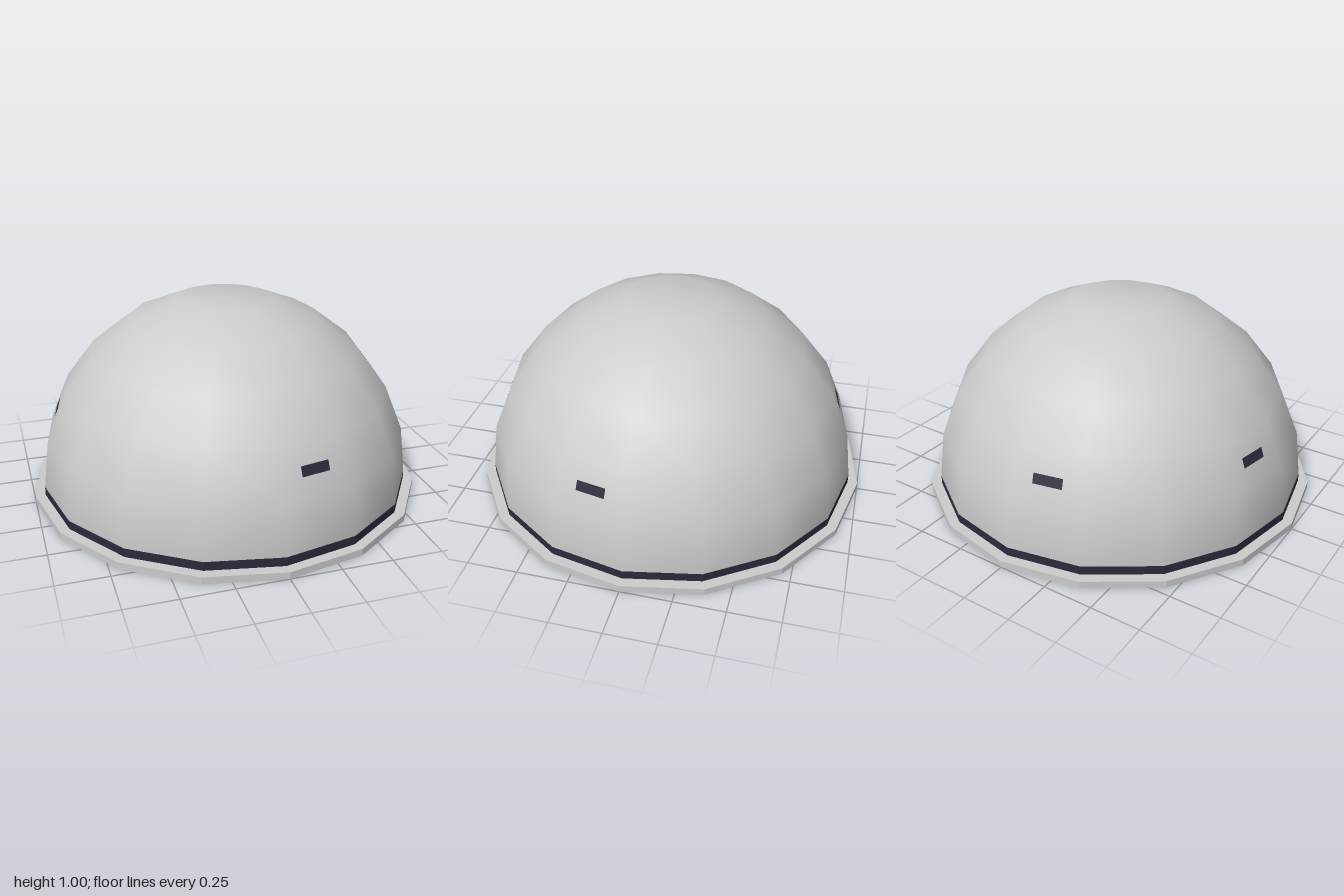
import * as THREE from 'three';

const SIDES = 16, RADIUS = 0.95, BASE = 0.08;

export function createModel() {
  const model = new THREE.Group();
  const grey = new THREE.MeshStandardMaterial({ color: 0xcccccc, side: THREE.DoubleSide });
  const greyFlat = new THREE.MeshStandardMaterial({ color: 0xcccccc, flatShading: true });
  const dark = new THREE.MeshStandardMaterial({ color: 0x2b2a3c, flatShading: true, side: THREE.DoubleSide });

  const add = (name, geometry, material) => {
    const mesh = new THREE.Mesh(geometry, material);
    mesh.name = name;
    model.add(mesh);
    return mesh;
  };

  // Hollow half-sphere shell; the pole is lowered to give a flat crown
  const shell = new THREE.SphereGeometry(RADIUS, SIDES, 6, 0, Math.PI * 2, 0, Math.PI / 2);
  const crownY = RADIUS * Math.cos(Math.PI / 12);
  const pos = shell.attributes.position;
  for (let i = 0; i < pos.count; i++) pos.setY(i, Math.min(pos.getY(i), crownY));
  add('domeShell', shell, grey).position.y = BASE;

  // Dark band under the shell
  const band = new THREE.CylinderGeometry(RADIUS, RADIUS, 0.045, SIDES, 1, true);
  add('darkBand', band, dark).position.y = 0.0575;

  // Open ring flange at the foot
  const section = [[RADIUS, 0], [1, 0], [1, 0.035], [RADIUS, 0.035], [RADIUS, 0]];
  add('baseFlange', new THREE.LatheGeometry(section.map(p => new THREE.Vector2(...p)), SIDES), greyFlat);

  // Slot windows lying on the sloped facets
  const facet = Math.PI / SIDES;
  const slotY = 0.442, tilt = 0.386;
  const r1 = RADIUS * Math.cos(Math.PI / 12), y1 = BASE + RADIUS * Math.sin(Math.PI / 12);
  const slotR = (r1 - (slotY - y1) * Math.tan(Math.PI / 8)) * Math.cos(facet) + 0.004;
  [facet, Math.PI / 2 - facet, Math.PI + facet, Math.PI * 1.5 - facet].forEach((angle, i) => {
    const slot = new THREE.PlaneGeometry(0.145, 0.049);
    slot.rotateX(-tilt);
    slot.translate(0, slotY, slotR);
    slot.rotateY(angle);
    add('slotWindow' + (i + 1), slot, dark);
  });

  return model;
}
